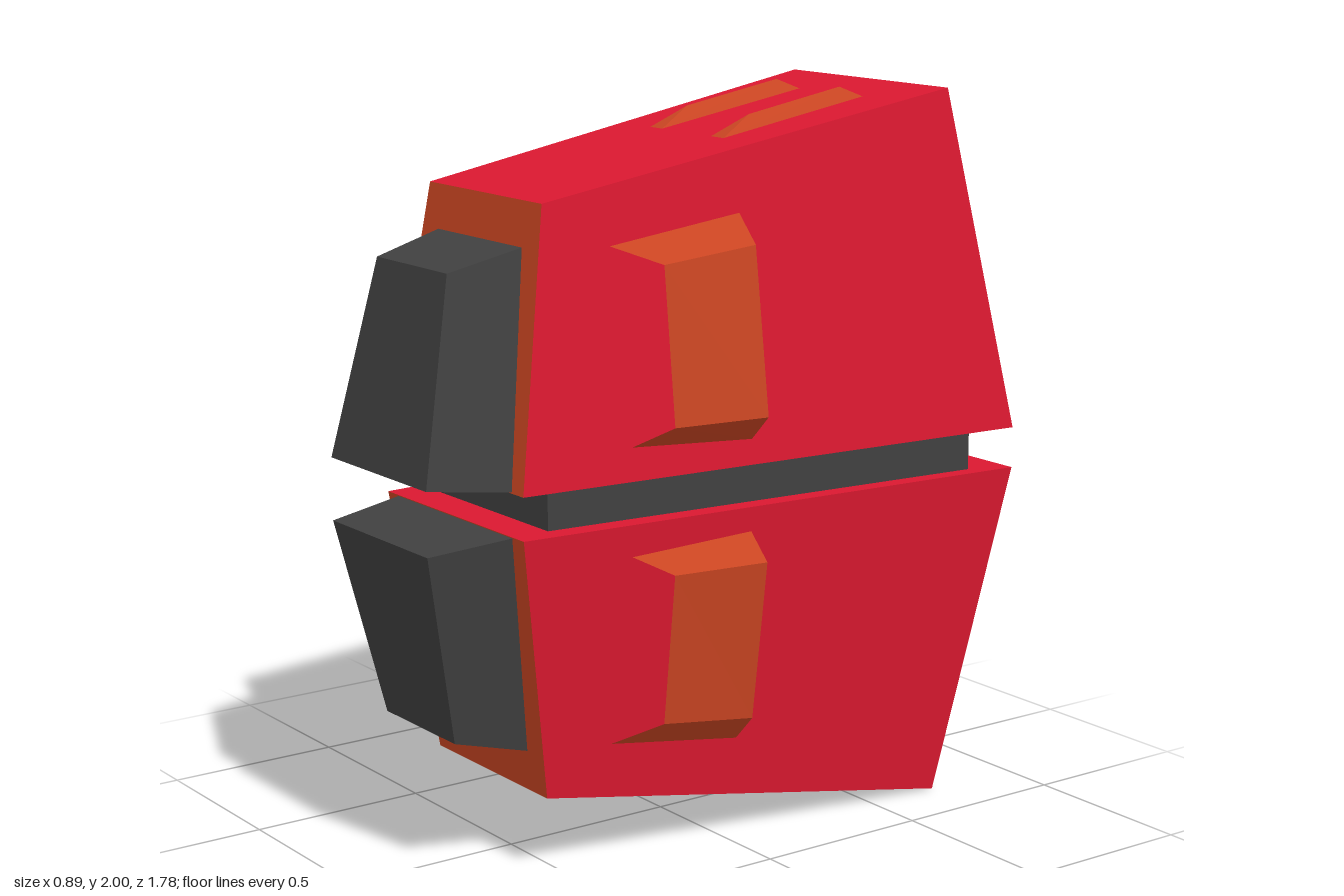
import * as THREE from 'three';

const mat = (color, side = THREE.FrontSide) =>
  new THREE.MeshStandardMaterial({ color, side, flatShading: true });
const red = mat(0xda1830);
const orange = mat(0xca4522);
const orangeThin = mat(0xca4522, THREE.DoubleSide);
const dark = mat(0x404040);
const black = mat(0x060606);

const BASE = 1.057; // underside of the upper half

// Mesh from convex polygons; sx / sy mirror across x = 0 and y = 1
function polyMesh(name, polys, material, sx = 1, sy = 1) {
  const pos = [];
  const put = ([x, y, z]) => pos.push(sx * x, sy > 0 ? y : 2 - y, z);
  for (const poly of polys) {
    const p = sx * sy < 0 ? [...poly].reverse() : poly;
    for (let i = 1; i < p.length - 1; i++) [p[0], p[i], p[i + 1]].forEach(put);
  }
  const g = new THREE.BufferGeometry();
  g.setAttribute('position', new THREE.Float32BufferAttribute(pos, 3));
  g.computeVertexNormals();
  const mesh = new THREE.Mesh(g, material);
  mesh.name = name;
  return mesh;
}

// Trapezoid ring, counter-clockwise seen from the front
const ring = (xb, yb, zb, xt, yt, zt) =>
  [[-xb, yb, zb], [xb, yb, zb], [xt, yt, zt], [-xt, yt, zt]];
// Quads joining two rings
const loft = (a, b) => a.map((p, i) => {
  const j = (i + 1) % a.length;
  return [p, a[j], b[j], b[i]];
});

// Surface of the shell: roof height and side position
const roofY = (z) => 2 - (z + 0.72) * 0.1725;
function shellX(y, z) {
  const low = 0.443 - (z + 0.89) * 0.071;
  const high = 0.332 - (z + 0.72) * 0.051;
  return low + (high - low) * (y - BASE) / (roofY(z) - BASE);
}

function createPod(name, sy) {
  const pod = new THREE.Group();
  pod.name = name;
  const add = (n, polys, m, sx = 1) => pod.add(polyMesh(n, polys, m, sx, sy));

  // Tapered shell with its front plate
  const rim = ring(0.443, BASE, -0.89, 0.332, 2, -0.72);
  const front = ring(0.333, BASE, 0.665, 0.265, 1.78, 0.557);
  add('shell', loft(rim, front), red);
  add('frontPlate', [front], orange);

  // Rear recess and launcher panel
  const panel = ring(0.318, 1.08, -0.55, 0.318, 1.968, -0.55);
  add('rearRecess', loft(panel, rim), orange);
  add('rearPanel', [[...panel].reverse()], red);

  // Tube openings in a 2 x 3 grid
  for (const x of [-0.139, 0.139]) {
    for (let row = 0; row < 3; row++) {
      const g = new THREE.CylinderGeometry(0.107, 0.107, 0.05, 8);
      g.rotateY(Math.PI / 8).rotateX(Math.PI / 2);
      const tube = new THREE.Mesh(g, black);
      tube.name = 'tubeOpening';
      tube.position.set(x, 1 + sy * (0.277 + row * 0.25), -0.574);
      pod.add(tube);
    }
  }

  // Dark nose block
  const noseBack = ring(0.28, BASE + 0.002, 0.66, 0.2, 1.665, 0.57);
  const noseFront = ring(0.237, 1.085, 0.89, 0.17, 1.613, 0.778);
  add('noseBlock', [...loft(noseBack, noseFront), noseFront], dark);

  for (const sx of [-1, 1]) {
    // Side bracket: outer plate with a flap above and below, open at the ends
    const base = (y, z) => [shellX(y, z), y, z];
    const rear = [base(1.125, -0.025), [0.445, 1.195, -0.025], [0.385, 1.64, -0.025], base(1.715, -0.025)];
    const fore = [base(1.145, 0.34), [0.41, 1.195, 0.25], [0.362, 1.61, 0.25], base(1.66, 0.37)];
    add('sideBracket', loft(rear, fore).slice(0, 3), orangeThin, sx);

    // Hipped rib on the roof
    const [a, b, c, d] = [[0.11, -0.085], [0.165, -0.085], [0.165, -0.56], [0.11, -0.56]]
      .map(([x, z]) => [x, roofY(z), z]);
    const r1 = [0.1375, 1.945, -0.19], r2 = [0.1375, 2, -0.5];
    add('roofRib', [[a, b, r1], [b, c, r2, r1], [c, d, r2], [d, a, r1, r2]], orange, sx);
  }
  return pod;
}

export function createModel() {
  const model = new THREE.Group();
  model.name = 'twinLauncherPod';
  model.add(createPod('upperPod', 1), createPod('lowerPod', -1));

  // Core joining the two halves
  const back = ring(0.39, 2 - BASE, -0.775, 0.39, BASE, -0.775);
  const front = ring(0.28, 2 - BASE, 0.557, 0.28, BASE, 0.557);
  model.add(polyMesh('core', [...loft(back, front), front, [...back].reverse()], dark));
  return model;
}
